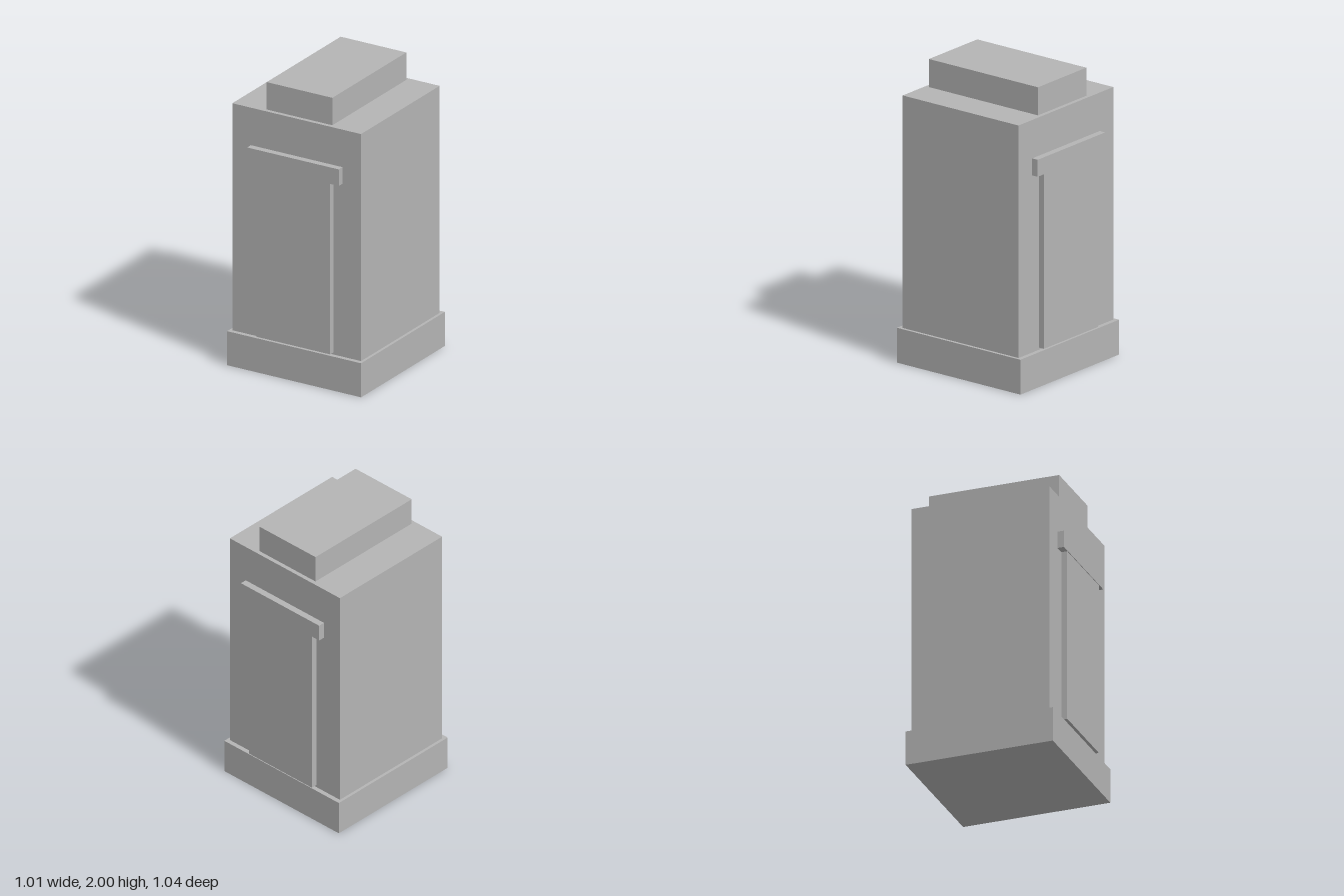
import * as THREE from 'three';

export function createModel() {
  const model = new THREE.Group();
  model.name = 'pedestal';
  const stone = new THREE.MeshStandardMaterial({ color: 0xb4b4b4 });
  stone.name = 'grey stone';

  // Box given by its width, vertical extent and depth range
  const block = (name, width, y0, y1, z0, z1, x = 0) => {
    const mesh = new THREE.Mesh(new THREE.BoxGeometry(width, y1 - y0, z1 - z0), stone);
    mesh.name = name;
    mesh.position.set(x, (y0 + y1) / 2, (z0 + z1) / 2);
    model.add(mesh);
    return mesh;
  };

  // Stacked main masses
  block('base', 1.012, 0, 0.236, -0.506, 0.506);
  block('body', 0.972, 0.236, 1.81, -0.475, 0.475);
  block('cap', 0.496, 1.81, 2, -0.447, 0.447, 0.004);

  // Raised door panel and lintel on the front and back
  for (const [side, s] of [['front', 1], ['back', -1]]) {
    const span = (depth) => (s > 0 ? [0.475, depth] : [-depth, -0.475]);
    block(side + 'Panel', 0.556, 0.251, 1.435, ...span(0.516));
    block(side + 'Lintel', 0.692, 1.435, 1.55, ...span(0.52));
  }
  return model;
}
